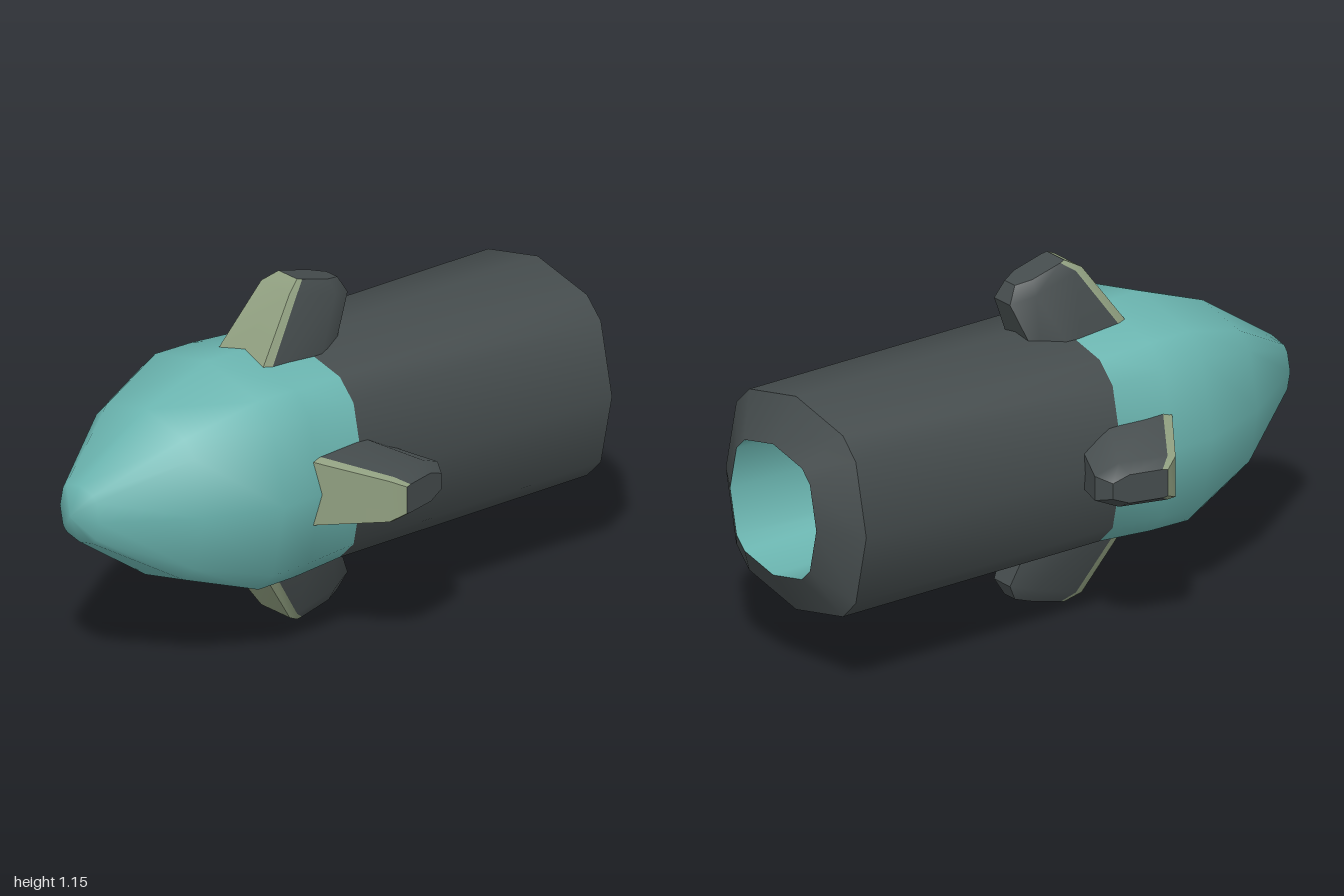
import * as THREE from 'three';
import { toCreasedNormals, mergeGeometries } from 'three/addons/utils/BufferGeometryUtils.js';

const CENTRE_Y = 0.578;

// Skin a list of point rings; neighbouring rings are joined with triangles.
function loft(rings, closed = true) {
  const pos = [];
  const tri = (a, b, c) => {
    if (a.equals(b) || b.equals(c) || c.equals(a)) return;
    for (const p of [a, b, c]) pos.push(p.x, p.y, p.z);
  };
  for (let i = 0; i + 1 < rings.length; i++) {
    const n = rings[i].length;
    for (let j = 0; j < (closed ? n : n - 1); j++) {
      const k = (j + 1) % n;
      tri(rings[i][j], rings[i][k], rings[i + 1][k]);
      tri(rings[i][j], rings[i + 1][k], rings[i + 1][j]);
    }
  }
  const g = new THREE.BufferGeometry();
  g.setAttribute('position', new THREE.Float32BufferAttribute(pos, 3));
  return g;
}

// Twelve-sided rounded square section, anticlockwise, for a unit radius.
const quarter = [[1, 0], [0.85, 0.665], [0.665, 0.85]];
const section = [];
for (let q = 0; q < 4; q++) {
  for (const [x, y] of quarter) {
    section.push(new THREE.Vector2(x, y).rotateAround(new THREE.Vector2(), q * Math.PI / 2));
  }
}
const hullRings = (profile) => profile.map(([z, r]) =>
  section.map((p) => new THREE.Vector3(p.x * r, p.y * r, z)));

// Fin section: front edge, back edge and half width at one height.
function finRing([fz, fy, bz, by, w]) {
  const half = [[0, 0.93], [0.1, 1], [0.7, 1], [1, 0.55]];
  const at = ([t, s], side) => new THREE.Vector3(
    side * s * w, fy + (by - fy) * t, fz + (bz - fz) * t);
  return [...half.map((h) => at(h, 1)), ...half.slice().reverse().map((h) => at(h, -1))];
}

export function createModel() {
  const teal = new THREE.MeshStandardMaterial({ name: 'teal', color: 0x6bb5b0 });
  const charcoal = new THREE.MeshStandardMaterial({ name: 'charcoal', color: 0x454c4d });
  const olive = new THREE.MeshStandardMaterial({ name: 'olive', color: 0x8f9e7f });

  const model = new THREE.Group();
  model.name = 'finnedPod';
  const add = (parent, name, geometry, material) => {
    const mesh = new THREE.Mesh(toCreasedNormals(geometry, 0.8), material);
    mesh.name = name;
    parent.add(mesh);
  };

  const hull = new THREE.Group();
  hull.name = 'hull';
  hull.position.y = CENTRE_Y;
  model.add(hull);

  // Bullet-shaped nose
  add(hull, 'nose', loft(hullRings([
    [0.1, 0.36], [0.29, 0.373], [0.44, 0.375], [0.69, 0.28], [0.96, 0.095], [1, 0],
  ])), teal);

  // Rear barrel with a chamfered rim
  add(hull, 'barrel', loft(hullRings([[-1, 0.221], [-0.91, 0.36], [0.1, 0.36]])), charcoal);

  // Hollow bore, facing inwards
  add(hull, 'bore', loft(hullRings([[-0.35, 0], [-0.35, 0.2], [-1, 0.221]])), teal);

  // Four swept fins, each with a lighter leading edge
  const rings = [
    [0.37, 0.25, 0, 0.25, 0.135],
    [0.16, 0.55, -0.1, 0.475, 0.074],
    [0.11, 0.577, -0.07, 0.53, 0.048],
  ].map(finRing);
  const tip = rings[2];
  const mid = tip.reduce((s, p) => s.add(p), new THREE.Vector3()).divideScalar(tip.length);
  const finBody = mergeGeometries([
    loft(rings.map((r) => r.slice(1, 7)), false),
    loft([tip, tip.map(() => mid)]),
  ]);
  const finEdge = loft(rings.map((r) => [r[6], r[7], r[0], r[1]]), false);

  ['topFin', 'rightFin', 'bottomFin', 'leftFin'].forEach((name, i) => {
    const fin = new THREE.Group();
    fin.name = name;
    fin.rotation.z = i * Math.PI / 2;
    add(fin, 'finBody', finBody, charcoal);
    add(fin, 'leadingEdge', finEdge, olive);
    hull.add(fin);
  });

  return model;
}
